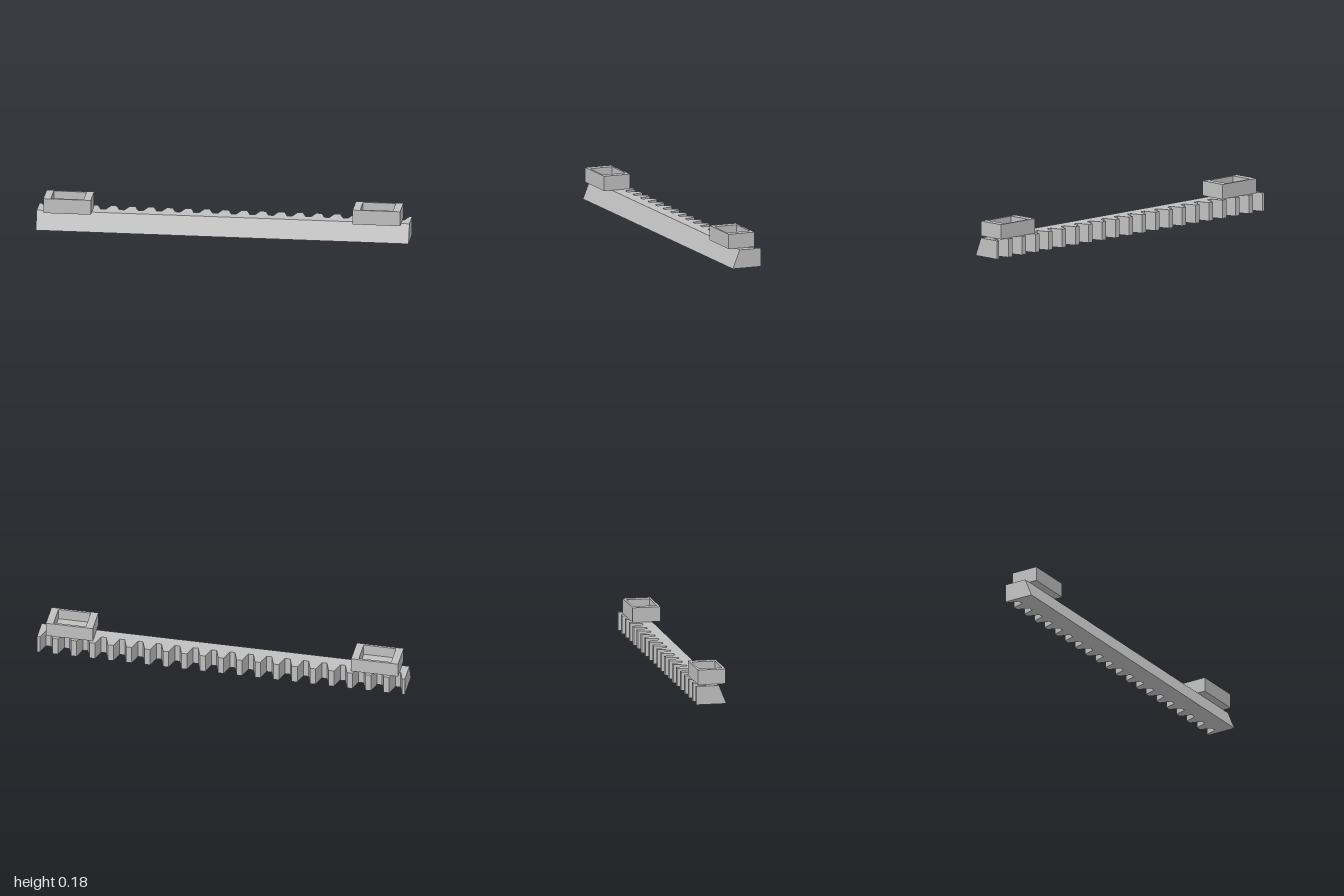
import * as THREE from 'three';

const LENGTH = 2, PITCH = 0.1, BAR_H = 0.1;
const FRONT_BOTTOM = 0.08, FRONT_TOP = 0.04; // z of the sloping front
const ROOT = -0.02, TIP = -0.084;            // z of the tooth roots and tips
const TIP_HALF = 0.015, ROOT_HALF = 0.036;

// Extrudes a plan drawn in (x, -z) upwards from y = 0
function extrudeUp(shape, height) {
  const geo = new THREE.ExtrudeGeometry(shape, { depth: height, bevelEnabled: false });
  return geo.rotateX(-Math.PI / 2);
}

function rectPath(path, w, d) {
  path.moveTo(-w / 2, -d / 2);
  path.lineTo(w / 2, -d / 2);
  path.lineTo(w / 2, d / 2);
  path.lineTo(-w / 2, d / 2);
  path.closePath();
  return path;
}

// Toothed bar: plan outline with a half tooth at each end
function rackGeometry() {
  const end = LENGTH / 2, count = Math.round(end / PITCH);
  const shape = new THREE.Shape();
  shape.moveTo(-end, -FRONT_BOTTOM);
  shape.lineTo(end, -FRONT_BOTTOM);
  for (let i = count; i >= -count; i--) {
    const x = i * PITCH;
    if (i < count) {
      shape.lineTo(x + ROOT_HALF, -ROOT);
      shape.lineTo(x + TIP_HALF, -TIP);
    } else shape.lineTo(end, -TIP);
    if (i > -count) {
      shape.lineTo(x - TIP_HALF, -TIP);
      shape.lineTo(x - ROOT_HALF, -ROOT);
    } else shape.lineTo(-end, -TIP);
  }
  shape.closePath();
  const geo = extrudeUp(shape, BAR_H);

  // Lean the front face back towards the top
  const p = geo.attributes.position;
  for (let i = 0; i < p.count; i++) {
    if (p.getZ(i) > FRONT_BOTTOM - 0.001 && p.getY(i) > BAR_H / 2) p.setZ(i, FRONT_TOP);
  }
  geo.computeVertexNormals();
  return geo;
}

// Open rectangular socket with a floor
function createSocket(material) {
  const w = 0.255, d = 0.151, h = 0.08, floorH = 0.02;
  const innerW = 0.175, innerD = 0.127;
  const socket = new THREE.Group();

  const outline = rectPath(new THREE.Shape(), w, d);
  outline.holes.push(rectPath(new THREE.Path(), innerW, innerD));
  const walls = new THREE.Mesh(extrudeUp(outline, h), material);
  walls.name = 'socketWalls';

  const floor = new THREE.Mesh(new THREE.BoxGeometry(innerW, floorH, innerD), material);
  floor.position.y = floorH / 2;
  floor.name = 'socketFloor';

  socket.add(walls, floor);
  return socket;
}

export function createModel() {
  const model = new THREE.Group();
  model.name = 'gearRack';
  const grey = new THREE.MeshStandardMaterial({ color: 0xc0c0c0 });
  grey.name = 'lightGrey';

  const rack = new THREE.Mesh(rackGeometry(), grey);
  rack.name = 'toothedBar';
  model.add(rack);

  for (const [name, x] of [['rightSocket', -0.832], ['leftSocket', 0.828]]) {
    const socket = createSocket(grey);
    socket.name = name;
    socket.position.set(x, BAR_H, 0.0095);
    model.add(socket);
  }
  return model;
}
